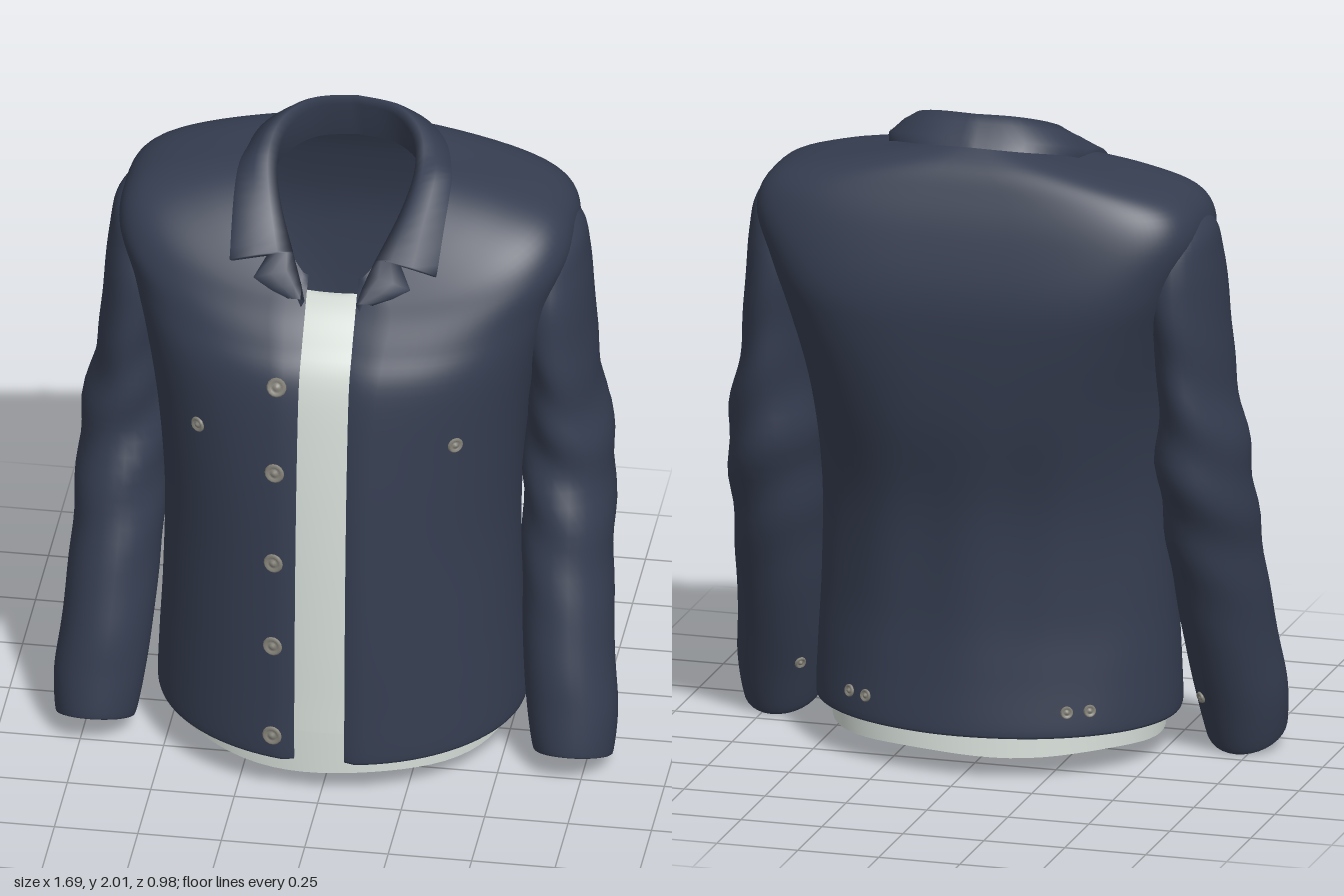
import * as THREE from 'three';

const V = (x, y, z) => new THREE.Vector3(x, y, z);
const mat = (name, color, side = THREE.DoubleSide) => {
  const m = new THREE.MeshStandardMaterial({ color, side });
  m.name = name;
  return m;
};

// Smooth interpolation of every column in a table of cross-sections, s in 0..1
function blend(rows, s) {
  const n = rows.length - 1, f = Math.min(s, 1) * n;
  const i = Math.min(Math.floor(f), n - 1), t = f - i;
  const r = k => rows[Math.max(0, Math.min(n, k))];
  return rows[0].map((_, c) => {
    const [a, b, d, e] = [r(i - 1)[c], r(i)[c], r(i + 1)[c], r(i + 2)[c]];
    return b + 0.5 * t * (d - a + t * (2 * a - 5 * b + 4 * d - e + t * (3 * (b - d) + e - a)));
  });
}

// Surface from a function of u and v, optionally welded around u
function loft(fn, nu, nv, closed = false) {
  const pos = [], idx = [], w = closed ? nu : nu + 1;
  for (let j = 0; j <= nv; j++)
    for (let i = 0; i < w; i++) pos.push(...fn(i / nu, j / nv).toArray());
  for (let j = 0; j < nv; j++)
    for (let i = 0; i < nu; i++) {
      const a = j * w + i, b = j * w + (i + 1) % w;
      idx.push(a, b, a + w, b, b + w, a + w);
    }
  const g = new THREE.BufferGeometry();
  g.setAttribute('position', new THREE.Float32BufferAttribute(pos, 3));
  g.setIndex(idx);
  g.computeVertexNormals();
  return g;
}

// Torso: half width, front z, back z, centre z, y at front / side / back, squareness front / back
const TORSO = [
  [0.53, 0.478, -0.4, 0, 0.15, 0.15, 0.15, 1, 1],
  [0.55, 0.492, -0.42, 0, 0.13, 0.13, 0.13, 1, 1],
  [0.545, 0.488, -0.40, 0, 0.3, 0.3, 0.3, 1, 1],
  [0.535, 0.482, -0.385, 0, 0.5, 0.5, 0.5, 1, 1],
  [0.53, 0.467, -0.395, 0, 0.8, 0.8, 0.8, 1, 0.95],
  [0.55, 0.44, -0.455, 0, 1.1, 1.1, 1.1, 0.95, 0.8],
  [0.59, 0.4, -0.485, -0.03, 1.35, 1.35, 1.35, 0.85, 0.62],
  [0.635, 0.338, -0.485, -0.07, 1.46, 1.52, 1.5, 0.8, 0.54],
  [0.68, 0.28, -0.445, -0.1, 1.54, 1.67, 1.67, 0.78, 0.52],
  [0.625, 0.25, -0.4, -0.12, 1.585, 1.775, 1.785, 0.78, 0.55],
  [0.45, 0.238, -0.355, -0.12, 1.6, 1.835, 1.865, 0.85, 0.7],
  [0.23, 0.225, -0.28, -0.1, 1.61, 1.87, 1.925, 1, 1],
];
const GAP = 0.075;

function torsoPoint(u, v) {
  const [w, f, b, zc, yF, yS, yB, pF, pB] = blend(TORSO, v);
  const t0 = Math.asin(Math.pow(GAP / w, 1 / pF));
  const t = t0 + u * (2 * Math.PI - 2 * t0);
  const s = Math.sin(t), c = Math.cos(t), p = c > 0 ? pF : pB;
  const x = w * Math.sign(s) * Math.pow(Math.abs(s), p);
  let z = zc + ((c > 0 ? f : b) - zc) * Math.pow(Math.abs(c), p);
  const y = yS + ((c > 0 ? yF : yB) - yS) * c * c;
  if (u === 0 || u === 1) z -= 0.015; // turned front edge
  if (c < 0) z += 0.008 * c * Math.sin(x * 22 + y * 3) * Math.exp(-Math.pow((y - 0.7) / 0.35, 2));
  return V(x, y, z);
}

// Sleeve: centre x, y, z, radius x, radius z, slope of the ring towards the front
const SLEEVE = [
  [0.69, 0.16, 0.14, 0.1, 0.105, 0.3],
  [0.715, 0.06, 0.173, 0.108, 0.118, 0.4],
  [0.715, 0.055, 0.173, 0.12, 0.13, 0.4],
  [0.708, 0.18, 0.14, 0.135, 0.145, 0.3],
  [0.69, 0.35, 0.09, 0.135, 0.165, 0.2],
  [0.672, 0.65, -0.01, 0.135, 0.18, 0.15],
  [0.662, 0.95, -0.1, 0.135, 0.188, 0.1],
  [0.645, 1.2, -0.11, 0.105, 0.205, 0],
  [0.617, 1.45, -0.12, 0.112, 0.222, 0],
  [0.61, 1.58, -0.13, 0.106, 0.205, 0],
  [0.6, 1.67, -0.135, 0.1, 0.17, 0],
  [0.585, 1.72, -0.14, 0.068, 0.1, 0],
  [0.57, 1.735, -0.14, 0.004, 0.004, 0],
];

function sleevePoint(side, u, v) {
  const [x, y, z, rx, rz, tilt] = blend(SLEEVE, v);
  const t = u * 2 * Math.PI, s = Math.sin(t), c = Math.cos(t);
  const fold = Math.exp(-Math.pow((y - 0.95) / 0.35, 2));
  const k = 1 + 0.05 * fold * Math.sin(y * 24 + 2.2 * s + 1.5 * c);
  return V(side * (x + rx * s * k), y + tilt * rz * c, z + rz * c * k);
}

// Folded strip from a crest line to an outer line, with a stand inside and a thin lip;
// the roll is full at the back of the neck and flattens towards the lapels
function foldedStrip(crest, outer) {
  return loft((u, v) => {
    const i = Math.round(u * (crest.length - 1)), row = Math.round(v * 5);
    const c = crest[i].clone(), o = outer[i].clone();
    const k = Math.min(1, Math.max(0.12, (c.y - 1.62) / 0.3));
    if (row === 0) return c.lerp(o, 0.3).add(V(0, -0.02 - 0.1 * k, -0.015 * k));
    if (row === 1) return c;
    if (row === 2) return c.lerp(o, 0.25).add(V(0, 0.033 * k, 0.01 * k));
    if (row === 3) return c.lerp(o, 0.6).add(V(0, 0.025 * k, 0.01 * k));
    if (row === 4) return o;
    return o.lerp(c, 0.06).add(V(0, -0.025, -0.022));
  }, crest.length - 1, 5);
}

export function createModel() {
  const group = new THREE.Group();
  group.name = 'jacket';
  const navy = mat('navy cloth', 0x353d50);
  const white = mat('pale shirt', 0xd6ded8);
  const metal = mat('button metal', 0x85837a, THREE.FrontSide);
  const add = (name, geo, material) => {
    const m = new THREE.Mesh(geo, material);
    m.name = name;
    group.add(m);
    return m;
  };

  const torso = add('jacketBody', loft(torsoPoint, 96, 66), navy);
  const sleeves = [1, -1].map(side => add(side > 0 ? 'leftSleeve' : 'rightSleeve',
    loft((u, v) => sleevePoint(side, side > 0 ? u : 1 - u, v), 32, 84, true), navy));

  // Finds the cloth surface along a ray
  const cast = (mesh, from, dir) => new THREE.Raycaster(from, dir).intersectObject(mesh)[0];
  const drape = (x, y, lift) => {
    const hit = cast(torso, V(x, y, 3), V(0, 0, -1));
    return V(x, y, (hit ? hit.point.z : 0.25) + lift);
  };

  // Collar: smooth half lines from the centre back to the front corner
  const smooth = list => Array.from({ length: 25 }, (_, i) => V(...blend(list, i / 24)));
  const crest = smooth([[0, 1.975, -0.24], [0.11, 1.97, -0.215], [0.185, 1.935, -0.145],
    [0.205, 1.88, -0.05], [0.18, 1.8, 0.055], [0.125, 1.7, 0.17]]);
  const corner = drape(0.31, 1.675, 0.02).toArray();
  const outer = smooth([[0, 1.945, -0.318], [0.16, 1.935, -0.293], [0.27, 1.908, -0.2],
    [0.312, 1.86, -0.08], [0.32, 1.78, 0.03], corner]);
  for (const p of outer.slice(0, -1)) {
    const hit = cast(torso, V(p.x, 4, p.z), V(0, -1, 0));
    if (hit) p.y = Math.max(p.y, hit.point.y + 0.015);
  }
  // Notch and lapel continue the same cloth down to the opening
  crest.push(V(0.122, 1.695, 0.178), V(0.105, 1.66, 0.208), V(0.09, 1.625, 0.232), V(0.077, 1.585, 0.256));
  outer.push(drape(0.2, 1.69, 0.012), drape(0.235, 1.635, 0.013),
    drape(0.185, 1.61, 0.01), drape(0.125, 1.587, 0.006));
  const both = list => [...list.slice(1).reverse().map(p => V(-p.x, p.y, p.z)), ...list];
  add('collarAndLapels', foldedStrip(both(crest), both(outer)), navy);

  // Shirt: a front panel behind the opening and a hem band all round
  add('shirtFront', loft((u, v) => {
    const s = 0.1 + v * (9.9 / 11 - 0.1);
    const [w, f, , zc, yF] = blend(TORSO, s);
    const x = (u - 0.5) * (0.4 - 0.2 * v);
    const z = zc + (f - zc) * Math.sqrt(1 - (x / w) ** 2) - 0.05 + 0.03 * v * v;
    return V(x, yF, z);
  }, 12, 40), white);
  add('shirtHem', loft((u, v) => {
    const t = u * 2 * Math.PI, c = Math.cos(t);
    const wave = 0.005 * Math.sin(5 * t) * (1 - v);
    return V((0.5 + 0.01 * v) * Math.sin(t), 0.062 + 0.14 * v + wave, c * (c > 0 ? 0.443 : 0.4 - 0.015 * v));
  }, 64, 3, true), white);

  // Studded buttons set on the cloth along its normal
  const profile = [[0, -0.006], [1, -0.006], [1, 0.004], [0.8, 0.009], [0.6, 0.003], [0.35, 0.004], [0.2, 0.009], [0, 0.009]];
  const button = (name, mesh, x, y, dir, r) => {
    const hit = cast(mesh, V(x, y, -3 * dir), V(0, 0, dir));
    if (!hit) return;
    const geo = new THREE.LatheGeometry(profile.map(([a, h]) => new THREE.Vector2(a * r, h)), 14);
    const b = add(name, geo, metal);
    const n = hit.face.normal.clone();
    if (n.z * dir > 0) n.negate();
    b.position.copy(hit.point);
    b.quaternion.setFromUnitVectors(V(0, 1, 0), n);
  };
  [1.36, 1.085, 0.785, 0.505, 0.2].forEach(y => button('frontButton', torso, -0.14, y, -1, 0.03));
  [1, -1].forEach((side, i) => {
    button('pocketButton', torso, side * 0.385, 1.17, -1, 0.024);
    button('hemButton', torso, side * 0.31, 0.2, 1, 0.019);
    button('hemButton', torso, side * 0.37, 0.2, 1, 0.019);
    button('cuffButton', sleeves[i], side * 0.62, 0.17, 1, 0.018);
  });
  return group;
}
